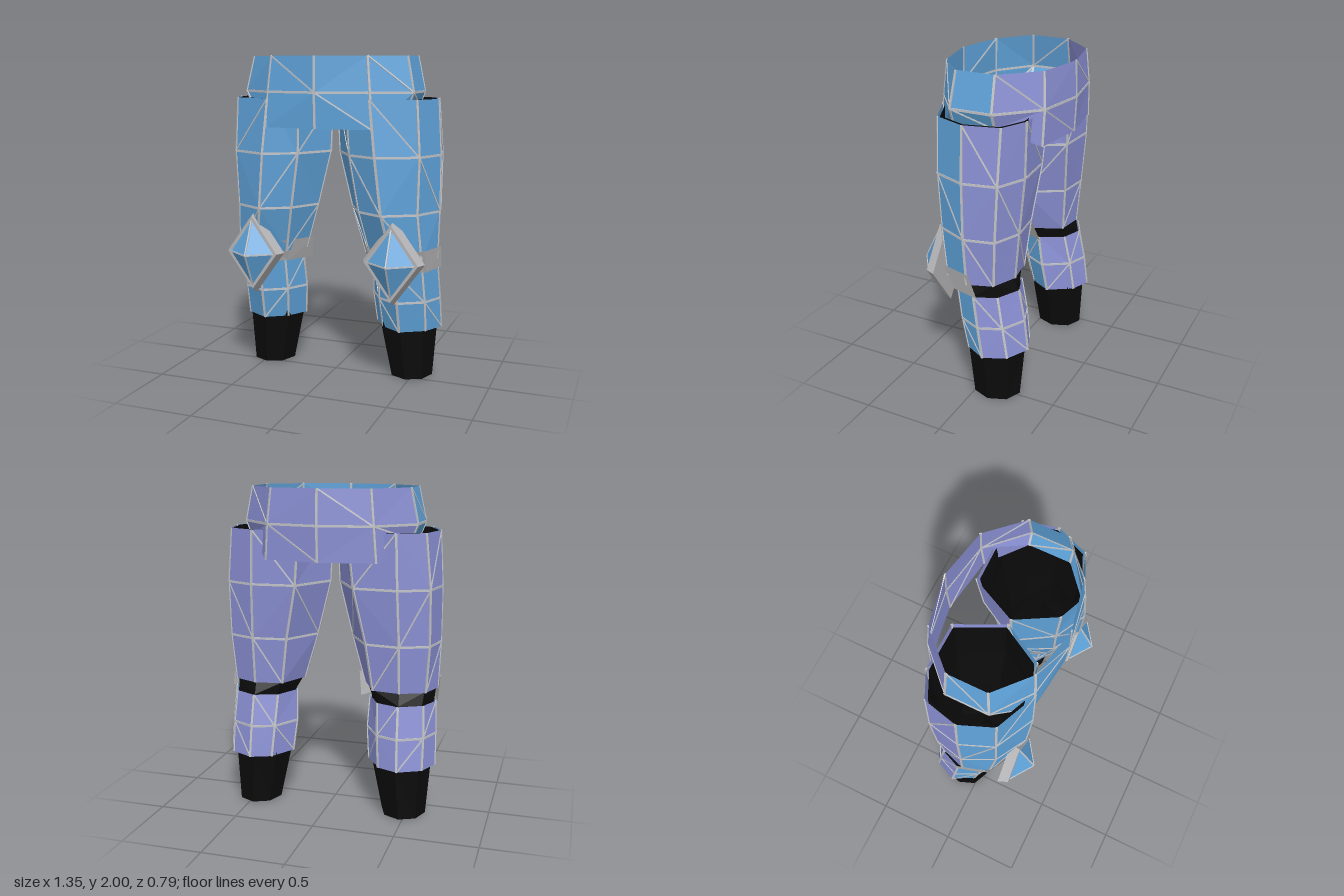
import * as THREE from 'three';
import { mergeGeometries } from 'three/addons/utils/BufferGeometryUtils.js';

const mat = (name, color, side = THREE.DoubleSide) =>
  Object.assign(new THREE.MeshStandardMaterial({ color, side, flatShading: true }), { name });

// A ring is a list of [x, z] (or [x, z, y]) points at height y
const ring = (y, pts, s = 1) => pts.map(([x, z, py]) => new THREE.Vector3(s * x, py ?? y, z));

// Which way the diagonal of a panel runs
const slant = (i, j) => (i + j) % 2 === 0;

// Faceted skin between rings listed from top to bottom, for columns from..to
function skin(rings, from, to, s) {
  const out = [], n = rings[0].length;
  for (let i = 0; i < rings.length - 1; i++) {
    for (let j = from; j < to; j++) {
      const k = (j + 1) % n;
      const a = rings[i][j], b = rings[i][k], c = rings[i + 1][k], d = rings[i + 1][j];
      const tris = slant(i, j) ? [[a, d, c], [a, c, b]] : [[a, d, b], [d, c, b]];
      for (const t of tris) for (const p of s > 0 ? t : [t[0], t[2], t[1]]) out.push(p.x, p.y, p.z);
    }
  }
  const g = new THREE.BufferGeometry();
  g.setAttribute('position', new THREE.Float32BufferAttribute(out, 3));
  g.computeVertexNormals();
  return g;
}

// Thin flat strip lying along the edge a-b, facing away from the centre
function strip(a, b, centre, width = 0.014) {
  const dir = b.clone().sub(a), len = dir.length();
  dir.normalize();
  const normal = a.clone().add(b).multiplyScalar(0.5).sub(centre);
  normal.addScaledVector(dir, -normal.dot(dir)).normalize();
  const side = dir.clone().cross(normal);
  const m = new THREE.Matrix4().makeBasis(side, dir, normal);
  m.setPosition(a.clone().add(b).multiplyScalar(0.5));
  return new THREE.BoxGeometry(width, len, 0.007).applyMatrix4(m);
}

// Strips along the panel joints and every other panel diagonal
function seams(rings) {
  const parts = [], n = rings[0].length;
  const mid = r => r.reduce((v, p) => v.add(p), new THREE.Vector3()).divideScalar(n);
  for (let i = 0; i < rings.length - 1; i++) {
    const c = mid(rings[i]).add(mid(rings[i + 1])).multiplyScalar(0.5);
    for (let j = 0; j < n; j++) {
      const k = (j + 1) % n, up = rings[i], low = rings[i + 1];
      parts.push(strip(up[j], low[j], c));
      if (i > 0) parts.push(strip(up[j], up[k], mid(up)));
      if (j % 2 === i % 2) parts.push(strip(up[j], low[k], c, 0.009));
    }
  }
  return mergeGeometries(parts);
}

export function createModel() {
  const blue = mat('blue front armour', 0x5fa3da);
  const violet = mat('violet back armour', 0x8a90d4);
  const black = mat('black undersuit', 0x0b0b0b);
  const grey = mat('grey strap', 0xb4b4b6);
  const pale = mat('pale seam', 0xc2c4c8, THREE.FrontSide);

  const model = new THREE.Group();
  model.name = 'legArmour';
  const add = (parent, name, geometry, material) => {
    const m = new THREE.Mesh(geometry, material);
    m.name = name;
    parent.add(m);
    return m;
  };
  // Blue front columns, violet back columns and the seams over both
  const armour = (parent, name, rings, split, s = 1) => {
    add(parent, name + 'Front', skin(rings, 0, split, s), blue);
    add(parent, name + 'Back', skin(rings, split, rings[0].length, s), violet);
    add(parent, name + 'Seams', seams(rings), pale);
  };

  // Waist band with front and back flaps; its sides tuck into the thighs
  const waistRing = (y, sx, sz, fx, fz, mz, bz, bm, sideY) => ring(y, [
    [-sx, -0.12, sideY], [-sx, sz, sideY], [-fx, fz], [0, mz], [fx, fz], [sx, sz, sideY],
    [sx, -0.12, sideY], [fx, bz], [0, bm], [-fx, bz]]);
  armour(model, 'waist', [
    waistRing(2.0, 0.49, 0.12, 0.30, 0.29, 0.355, -0.32, -0.38, 2.0),
    waistRing(1.79, 0.535, 0.14, 0.32, 0.305, 0.36, -0.335, -0.39, 1.79),
    waistRing(1.58, 0.50, 0.14, 0.335, 0.31, 0.35, -0.33, -0.38, 1.70)], 6);

  // Leg sections: inner, front, outer, back
  const thighPts = [
    [1.75, [[0.015, 0], [0.15, 0.24], [0.32, 0.31], [0.57, 0.2], [0.65, 0], [0.6, -0.21], [0.44, -0.285], [0.15, -0.28]]],
    [1.42, [[0.03, 0], [0.165, 0.22], [0.355, 0.32], [0.59, 0.2], [0.67, 0], [0.63, -0.2], [0.45, -0.28], [0.18, -0.26]]],
    [1.08, [[0.115, 0], [0.22, 0.2], [0.39, 0.3], [0.58, 0.19], [0.67, 0], [0.63, -0.18], [0.46, -0.25], [0.25, -0.225]]],
    [0.79, [[0.2, -0.01], [0.28, 0.14], [0.44, 0.22], [0.6, 0.15], [0.66, -0.01], [0.61, -0.16], [0.46, -0.225], [0.29, -0.2]]],
  ];
  const shinPts = [
    [0.715, [[0.24, -0.05], [0.315, 0.085], [0.45, 0.175], [0.59, 0.09], [0.655, -0.05], [0.6, -0.18], [0.46, -0.25], [0.32, -0.2]]],
    [0.52, [[0.232, -0.08], [0.31, 0.06], [0.45, 0.15], [0.6, 0.06], [0.665, -0.08], [0.61, -0.215], [0.465, -0.29], [0.33, -0.24]]],
    [0.325, [[0.25, -0.11], [0.325, 0.02], [0.455, 0.105], [0.6, 0.02], [0.67, -0.11], [0.61, -0.245], [0.47, -0.315], [0.345, -0.265]]],
  ];
  const shrink = (pts, k) => {
    const cx = pts.reduce((t, p) => t + p[0], 0) / pts.length;
    const cz = pts.reduce((t, p) => t + p[1], 0) / pts.length;
    return pts.map(([x, z]) => [cx + (x - cx) * k, cz + (z - cz) * k]);
  };
  const oval = (cx, cz, rx, rz) => Array.from({ length: 8 }, (_, i) => {
    const a = Math.PI - i * Math.PI / 4;
    return [cx + Math.cos(a) * rx, cz + Math.sin(a) * rz];
  });

  for (const s of [1, -1]) {
    const leg = new THREE.Group();
    leg.name = s > 0 ? 'leftLeg' : 'rightLeg';
    model.add(leg);

    // Undersuit lining the armour and showing at the knee and ankle
    const suit = [...thighPts, ...shinPts.slice(0, 2)].map(([y, p]) => ring(y, shrink(p, 0.94), s));
    suit.push(ring(0.32, oval(0.455, -0.105, 0.185, 0.182), s));
    suit.push(ring(0, oval(0.477, -0.112, 0.138, 0.153), s));
    add(leg, 'undersuit', skin(suit, 0, 8, s), black);

    armour(leg, 'thigh', thighPts.map(([y, p]) => ring(y, p, s)), 4, s);
    armour(leg, 'shin', shinPts.map(([y, p]) => ring(y, p, s)), 4, s);

    // Knee strap, open at the back
    add(leg, 'kneeStrap', skin([
      ring(0.86, [[0.165, -0.03], [0.27, 0.16], [0.45, 0.25], [0.62, 0.16], [0.675, -0.03]], s),
      ring(0.72, [[0.19, -0.08], [0.28, 0.1], [0.45, 0.2], [0.62, 0.1], [0.67, -0.08]], s)], 0, 4, s), grey);

    // Diamond knee guard: bevelled frame, pyramid and ridge strips
    const knee = new THREE.Group();
    knee.name = 'kneeGuard';
    knee.position.set(s * 0.45, 0.795, 0);
    leg.add(knee);
    const frame = new THREE.CylinderGeometry(0.166, 0.192, 0.06, 4).rotateX(Math.PI / 2);
    add(knee, 'kneeFrame', frame.scale(1, 1.39, 1).translate(0, 0, 0.257), grey);
    const gem = new THREE.ConeGeometry(0.143, 0.1, 4).rotateX(Math.PI / 2);
    add(knee, 'kneePyramid', gem.scale(1, 1.42, 1).translate(0, 0, 0.339), blue);
    const tip = new THREE.Vector3(0, 0, 0.389), base = new THREE.Vector3(0, 0, 0.25);
    const ridges = [[1, 0], [0, 1], [-1, 0], [0, -1]].map(([x, y]) =>
      strip(new THREE.Vector3(x * 0.143, y * 0.203, 0.289), tip, base, 0.009));
    add(knee, 'kneeRidges', mergeGeometries(ridges), pale);
  }
  return model;
}
